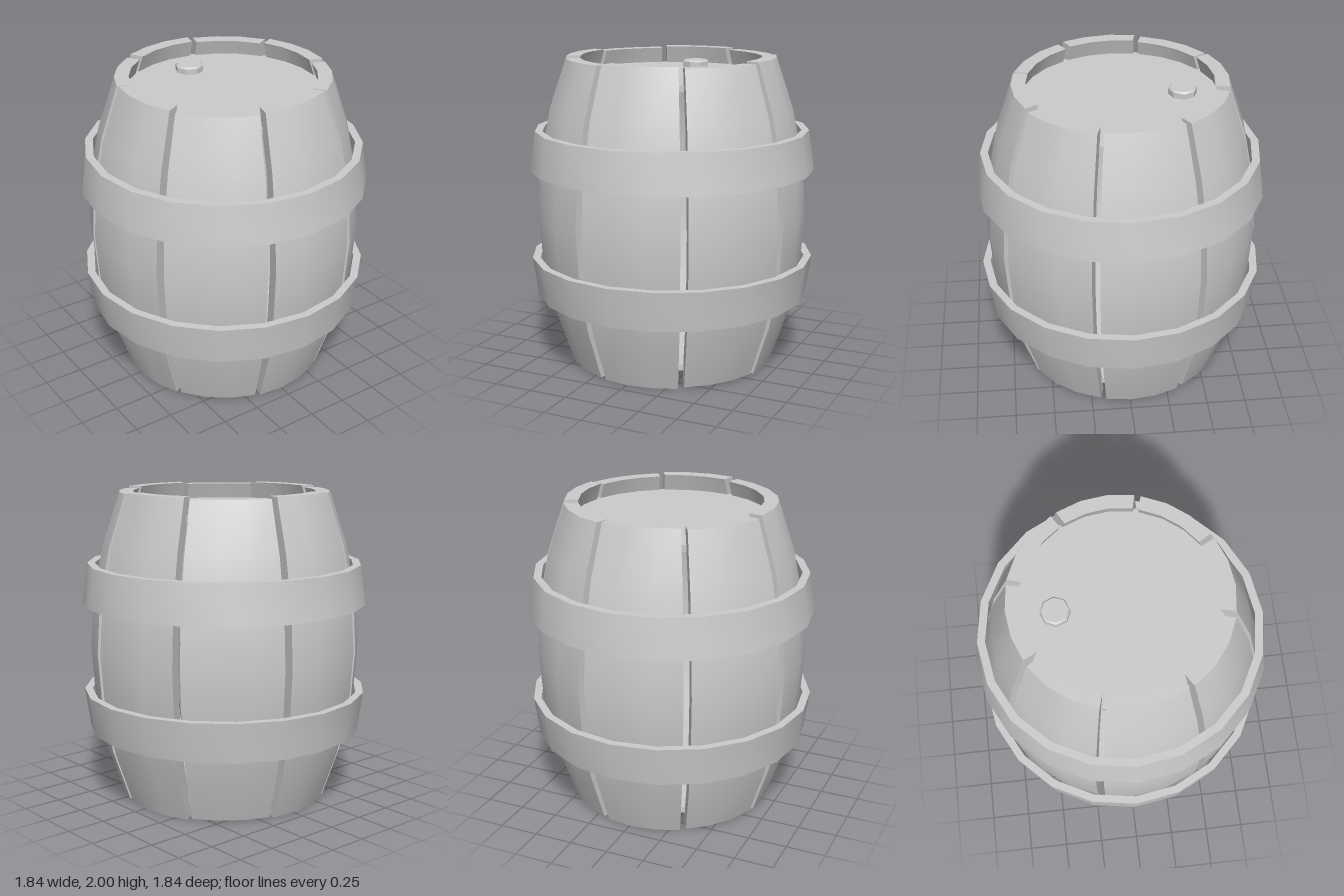
import * as THREE from 'three';
import { toCreasedNormals } from 'three/addons/utils/BufferGeometryUtils.js';

const wood = new THREE.MeshStandardMaterial({ color: 0xcccccc });
const CREASE = 0.6;
const rad = THREE.MathUtils.degToRad;

// outer radius of the barrel at height y (0..2)
const bulge = (y) => 0.873 - 0.203 * (y - 1) ** 2;

function addMesh(group, name, geometry) {
  const mesh = new THREE.Mesh(toCreasedNormals(geometry, CREASE), wood);
  mesh.name = name;
  group.add(mesh);
  return mesh;
}

// a box bent around the axis and along the bulge
function staveGeometry(trim) {
  const thickness = 0.09, halfAngle = rad(20.9);
  const g = new THREE.BoxGeometry(2, 2, 1, 3, 6, 1);
  const p = g.attributes.position;
  for (let i = 0; i < p.count; i++) {
    const y = 1 + p.getY(i) * (1 - trim);
    const a = p.getX(i) * halfAngle;
    const r = bulge(y) - (p.getZ(i) < 0 ? thickness : 0);
    p.setXYZ(i, Math.sin(a) * r, y, Math.cos(a) * r);
  }
  return g;
}

// closed conical band with 20 sides
function hoopGeometry(y0, y1, r0, r1) {
  const t = 0.05;
  const loop = [[r1 - t, y1], [r0 - t, y0], [r0, y0], [r1, y1], [r1 - t, y1]];
  return new THREE.LatheGeometry(loop.map(([r, y]) => new THREE.Vector2(r, y)), 20);
}

export function createModel() {
  const barrel = new THREE.Group();
  barrel.name = 'barrel';

  // eight staves with narrow gaps, every second one slightly shorter
  for (let i = 0; i < 8; i++) {
    const stave = addMesh(barrel, `stave${i + 1}`, staveGeometry(i % 2 ? 0.01 : 0));
    stave.rotation.y = rad(7.5 + i * 45);
  }

  // two hoops, wider towards the middle of the barrel
  addMesh(barrel, 'upperHoop', hoopGeometry(1.28, 1.535, 0.92, 0.885));
  addMesh(barrel, 'lowerHoop', hoopGeometry(0.45, 0.705, 0.885, 0.92));

  // recessed heads
  for (const [name, y] of [['topHead', 1.87], ['bottomHead', 0.13]]) {
    addMesh(barrel, name, new THREE.CylinderGeometry(0.64, 0.64, 0.04, 24)).position.y = y;
  }

  // octagonal bung with a bevelled top edge
  const profile = [[0, 0], [0.09, 0], [0.09, 0.035], [0.08, 0.045], [0, 0.045]];
  const bung = addMesh(barrel, 'bung',
    new THREE.LatheGeometry(profile.map(([r, y]) => new THREE.Vector2(r, y)), 8));
  bung.position.set(-0.005, 1.89, -0.385);

  return barrel;
}
